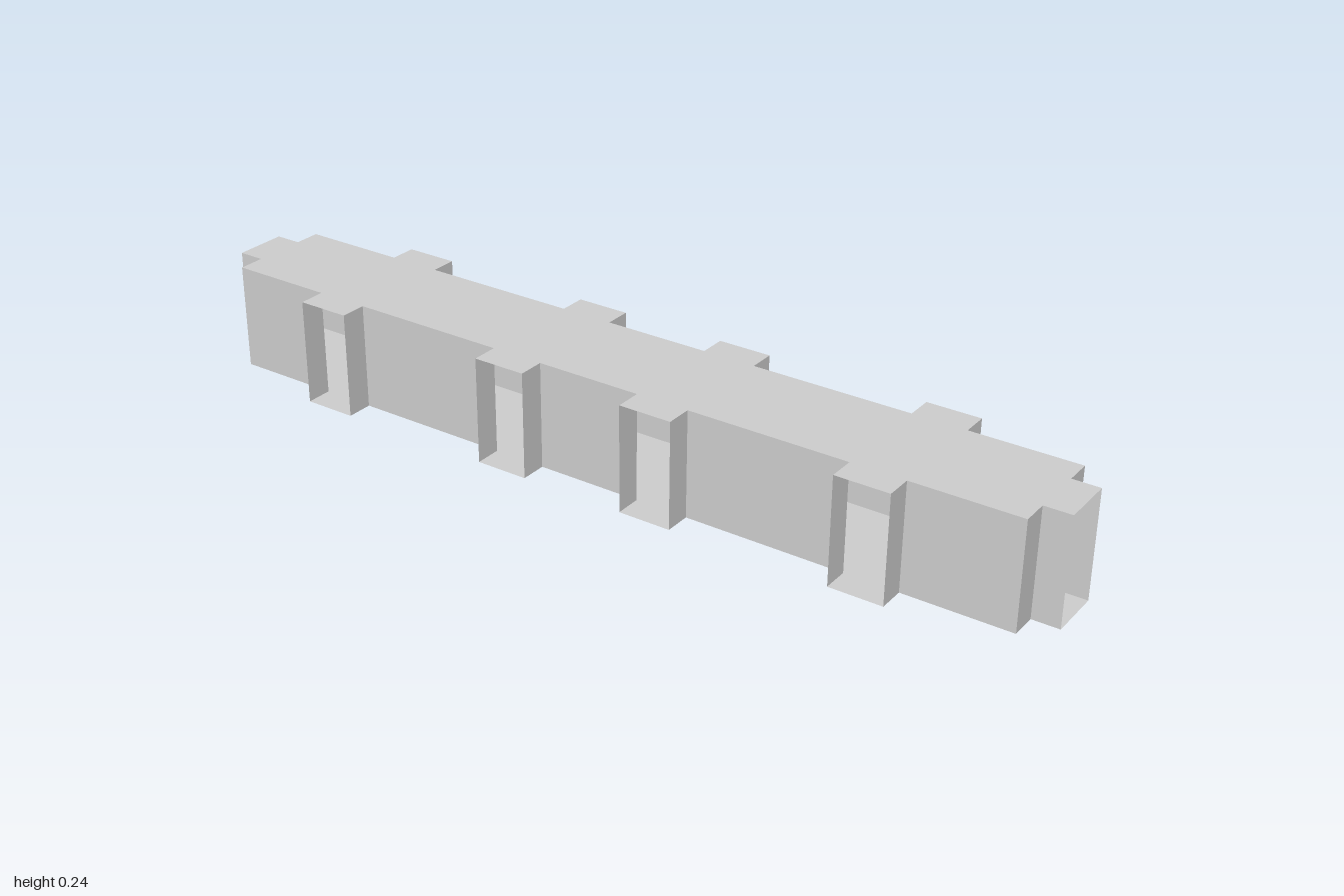
import * as THREE from 'three';

const U = 1 / 17;      // plan module
const HEIGHT = 4 * U;

// Wall runs along the +x side, from front (+z) to back, in plan modules [x, z].
// The gaps between runs are the open doorways.
const frontRuns = [
  [[1, 17], [1, 16], [2, 16], [2, 12], [3, 12]],
  [[3, 10], [2, 10], [2, 4], [3, 4]],
];
const middleRun = [[3, 2], [2, 2], [2, -2], [3, -2]];
const backRuns = frontRuns.map(run => run.map(([x, z]) => [x, -z]).reverse()).reverse();
const leftRuns = [...frontRuns, middleRun, ...backRuns];
// The other side is the same plan turned half round
const rightRuns = leftRuns.map(run => run.map(([x, z]) => [-x, -z]));

export function createModel() {
  const group = new THREE.Group();
  const material = new THREE.MeshStandardMaterial({
    color: 0xcccccc, flatShading: true, side: THREE.DoubleSide,
  });

  // Floor and ceiling share the complete corridor outline
  const outline = [...leftRuns, ...rightRuns].flat()
    .map(([x, z]) => new THREE.Vector2(x * U, -z * U));
  const slab = new THREE.ShapeGeometry(new THREE.Shape(outline));
  slab.rotateX(-Math.PI / 2);

  const ceiling = new THREE.Mesh(slab, material);
  ceiling.name = 'ceiling';
  ceiling.position.y = HEIGHT;

  const floor = new THREE.Mesh(slab.clone().rotateX(Math.PI), material);
  floor.name = 'floor';
  group.add(ceiling, floor);

  // One thin panel per wall segment, facing outward
  const addWalls = (runs, name) => {
    const walls = new THREE.Group();
    walls.name = name;
    for (const run of runs) {
      for (let i = 1; i < run.length; i++) {
        const [x0, z0] = run[i - 1], [x1, z1] = run[i];
        const dx = x1 - x0, dz = z1 - z0;
        const panel = new THREE.Mesh(
          new THREE.PlaneGeometry(Math.hypot(dx, dz) * U, HEIGHT), material);
        panel.name = 'wallPanel';
        panel.position.set((x0 + x1) / 2 * U, HEIGHT / 2, (z0 + z1) / 2 * U);
        panel.rotation.y = Math.atan2(-dz, dx);
        walls.add(panel);
      }
    }
    group.add(walls);
  };
  addWalls(leftRuns, 'leftWalls');
  addWalls(rightRuns, 'rightWalls');

  return group;
}
